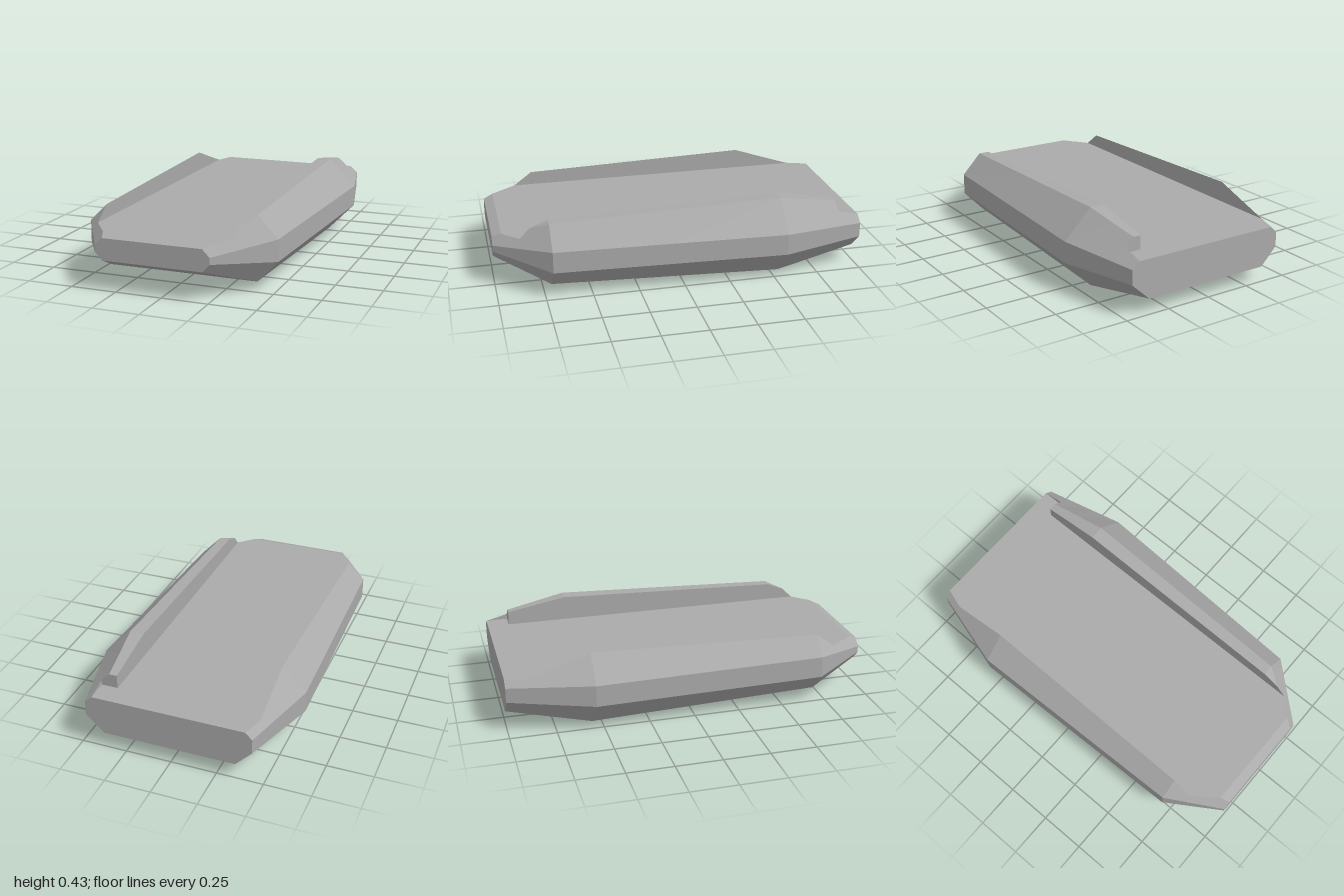
import * as THREE from 'three';

// Octagonal hull stations:
// z, outer left/right x, flat left/right x, bottom, lower side, upper side, top
const STATIONS = [
  [1.0, -0.36, 0.26, -0.32, 0.22, 0.158, 0.2, 0.235, 0.275],
  [0.71, -0.535, 0.51, -0.42, 0.4, 0.043, 0.158, 0.275, 0.39],
  [-0.55, -0.57, 0.57, -0.418, 0.418, 0.0, 0.158, 0.275, 0.43],
  [-1.0, -0.44, 0.47, -0.35, 0.37, 0.085, 0.178, 0.258, 0.348],
];
const DECK_Y = 0.295, SLOT_LEFT = -0.44, SLOT_RIGHT = 0.34, NOTCH_RIGHT = 0.43;

function stationAt(z) {
  let i = 0;
  while (i < 2 && z < STATIONS[i + 1][0]) i++;
  const a = STATIONS[i], b = STATIONS[i + 1];
  const t = (z - a[0]) / (b[0] - a[0]);
  return a.map((v, k) => v + (b[k] - v) * t);
}

// Rim of one side, from hull corner to slot wall top to slot floor
function rim(outer, flat, sideY, top, wall) {
  const s = Math.sign(outer);
  const floor = Math.min(DECK_Y, top);
  const chamferX = outer + (flat - outer) * (floor - sideY) / (top - sideY);
  const wx = s * Math.min(s * wall, s * chamferX);
  const topAt = (x) => s * x <= s * flat ? top
    : sideY + (top - sideY) * (outer - x) / (outer - flat);
  const cx = s * Math.max(s * flat, s * wx);
  return [[cx, topAt(cx)], [wx, topAt(wx)], [wx, floor]];
}

// Closed cross-section, counter-clockwise seen from the front
function section(z, rightWall) {
  const [, xl, xr, fl, fr, bottom, low, up, top] = stationAt(z);
  const right = rim(xr, fr, up, top, rightWall);
  const left = rim(xl, fl, up, top, SLOT_LEFT).reverse();
  return [[fl, bottom], [fr, bottom], [xr, low], [xr, up],
    ...right, ...left, [xl, up], [xl, low]]
    .map(([x, y]) => new THREE.Vector3(x, y, z));
}

function meshFrom(name, triangles, material) {
  const pts = [];
  const n = new THREE.Vector3();
  for (const [a, b, c] of triangles) {
    new THREE.Triangle(a, b, c).getNormal(n);
    if (n.lengthSq() > 0.5) pts.push(a, b, c);
  }
  const geometry = new THREE.BufferGeometry().setFromPoints(pts);
  geometry.computeVertexNormals();
  const mesh = new THREE.Mesh(geometry, material);
  mesh.name = name;
  return mesh;
}

export function createModel() {
  const group = new THREE.Group();
  group.name = 'hull';
  const grey = new THREE.MeshStandardMaterial({ color: 0xaaaaaa });
  grey.name = 'grey';

  // The doubled station at -0.88 makes the step at the end of one rail
  const front = [1, 0.95, 0.9, 0.862, 0.835, 0.812, 0.806, 0.76, 0.71, 0.08, -0.55, -0.72, -0.88];
  const sections = [
    ...front.map((z) => section(z, SLOT_RIGHT)),
    ...[-0.88, -0.9, -0.95, -1].map((z) => section(z, NOTCH_RIGHT)),
  ];

  // Skin a run of profile edges along the whole length
  function strip(name, from, to) {
    const tris = [];
    for (let i = 0; i < sections.length - 1; i++) {
      const f = sections[i], b = sections[i + 1];
      for (let k = from; k < to; k++) {
        const m = (k + 1) % f.length;
        tris.push([f[k], b[k], b[m]], [f[k], b[m], f[m]]);
      }
    }
    group.add(meshFrom(name, tris, grey));
  }
  strip('underside', 0, 1);
  strip('leftSide', 1, 4);
  strip('leftRail', 4, 6);
  strip('deck', 6, 7);
  strip('rightRail', 7, 9);
  strip('rightSide', 9, 12);

  // Flat end plates
  function endPlate(name, s, flip) {
    const tris = [];
    for (let k = 1; k < s.length - 1; k++) {
      tris.push(flip ? [s[0], s[k + 1], s[k]] : [s[0], s[k], s[k + 1]]);
    }
    group.add(meshFrom(name, tris, grey));
  }
  endPlate('frontPlate', sections[0], false);
  endPlate('backPlate', sections[sections.length - 1], true);
  return group;
}
